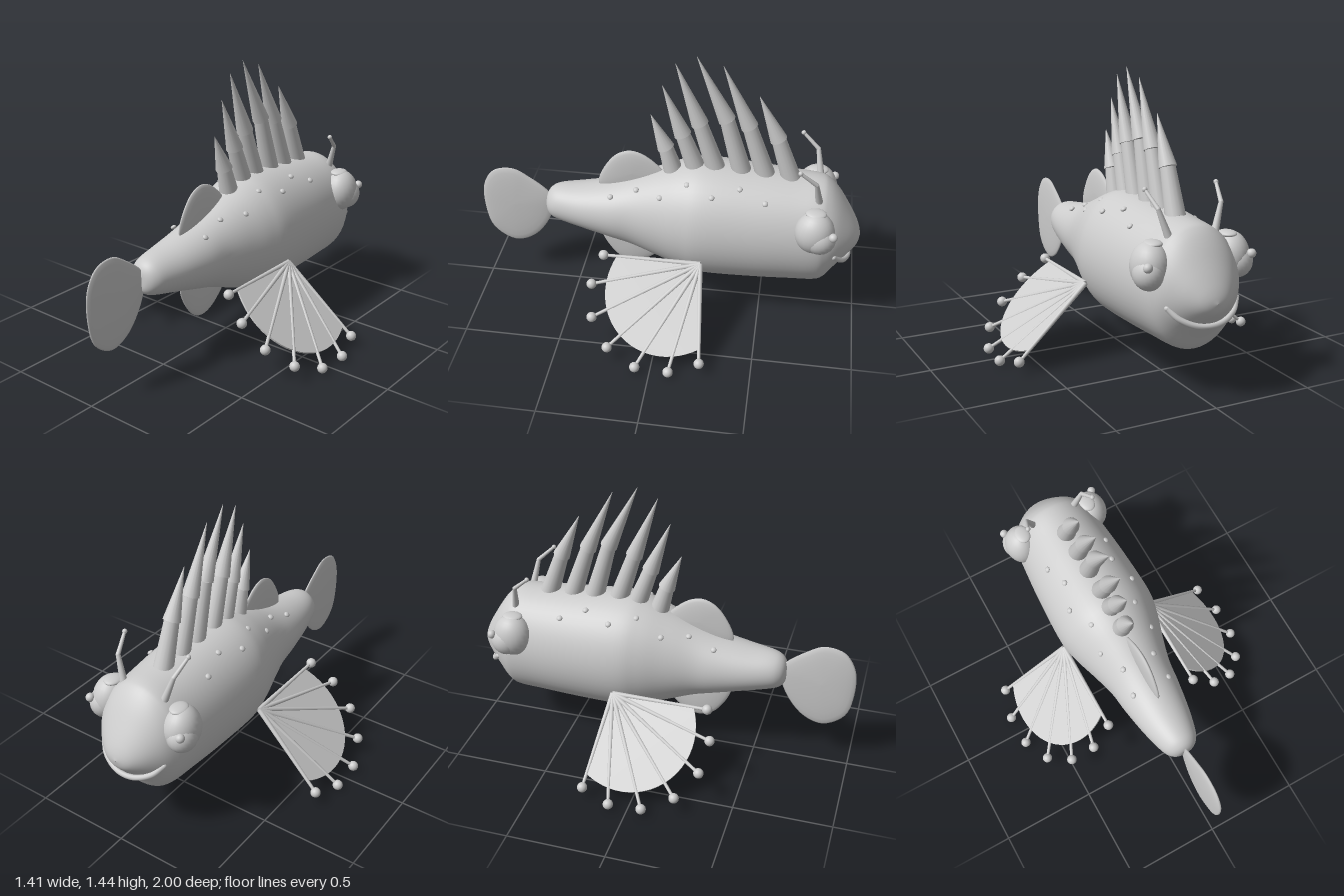
import * as THREE from 'three';

const grey = new THREE.MeshStandardMaterial({ color: 0xcccccc });
grey.name = 'plain grey';
const V = (x, y, z) => new THREE.Vector3(x, y, z);

// Closed tube skin over a list of rings (equal numbers of points)
function skin(rings) {
  const n = rings[0].length, pos = [], idx = [];
  rings.forEach(r => r.forEach(p => pos.push(p.x, p.y, p.z)));
  for (let i = 0; i < rings.length - 1; i++) {
    for (let j = 0; j < n; j++) {
      const a = i * n + j, b = i * n + (j + 1) % n;
      idx.push(a, b, a + n, b, b + n, a + n);
    }
  }
  const g = new THREE.BufferGeometry();
  g.setAttribute('position', new THREE.Float32BufferAttribute(pos, 3));
  g.setIndex(idx);
  g.computeVertexNormals();
  return g;
}

function add(parent, name, geometry) {
  const m = new THREE.Mesh(geometry, grey);
  m.name = name;
  parent.add(m);
  return m;
}

// Ellipsoid
function ball(parent, name, p, rx, ry = rx, rz = rx) {
  const m = add(parent, name, new THREE.SphereGeometry(1, 24, 16));
  m.scale.set(rx, ry, rz);
  m.position.copy(p);
  return m;
}

// Tapered rod from a to b
function rod(parent, name, a, b, ra, rb) {
  const d = b.clone().sub(a);
  const m = add(parent, name, new THREE.CylinderGeometry(rb, ra, d.length(), 16));
  m.position.copy(a).add(b).multiplyScalar(0.5);
  m.quaternion.setFromUnitVectors(V(0, 1, 0), d.normalize());
  return m;
}

// Lens-shaped upright fin from a [y, z] outline
function lensFin(parent, name, outline, thick) {
  const pts = new THREE.CatmullRomCurve3(outline.map(([y, z]) => V(0, y, z)), true).getPoints(48).slice(0, 48);
  const c = pts.reduce((s, p) => s.add(p), V(0, 0, 0)).divideScalar(48);
  const rings = [];
  for (let i = 0; i <= 12; i++) {
    const f = (i / 12 - 0.5) * Math.PI, k = Math.max(Math.cos(f), 0.001);
    rings.push(pts.map(p => V(thick * Math.sin(f), c.y + (p.y - c.y) * k, c.z + (p.z - c.z) * k)));
  }
  return add(parent, name, skin(rings));
}

// Body stations: z, top, bottom, half width
const STATIONS = [
  [-0.995, 0.502, 0.498, 0.002], [-0.985, 0.54, 0.46, 0.05], [-0.965, 0.585, 0.43, 0.09],
  [-0.925, 0.655, 0.385, 0.14], [-0.87, 0.74, 0.315, 0.19], [-0.82, 0.795, 0.245, 0.22],
  [-0.77, 0.817, 0.225, 0.237], [-0.65, 0.825, 0.222, 0.25], [-0.45, 0.84, 0.216, 0.265],
  [-0.2, 0.855, 0.215, 0.272], [-0.08, 0.835, 0.24, 0.25], [0.05, 0.785, 0.285, 0.21],
  [0.18, 0.73, 0.335, 0.175], [0.3, 0.69, 0.37, 0.16], [0.45, 0.658, 0.41, 0.135],
  [0.57, 0.64, 0.438, 0.105], [0.62, 0.62, 0.455, 0.08], [0.645, 0.585, 0.485, 0.045],
  [0.65, 0.54, 0.536, 0.002],
];

function bodyGeometry() {
  const height = new THREE.CatmullRomCurve3(STATIONS.map(([z, t, b]) => V(t, b, z)), false, 'catmullrom');
  const width = new THREE.CatmullRomCurve3(STATIONS.map(([z, , , w]) => V(w, 0, z)), false, 'catmullrom');
  const rings = [];
  for (let i = 0; i <= 90; i++) {
    const h = height.getPoint(i / 90), w = width.getPoint(i / 90).x;
    const ring = [];
    for (let j = 0; j < 48; j++) {
      const a = j / 48 * Math.PI * 2;
      ring.push(V(w * Math.cos(a), (h.x + h.y) / 2 + (h.x - h.y) / 2 * Math.sin(a), h.z));
    }
    rings.push(ring);
  }
  return skin(rings);
}

// Fan fin: thin web, seven rays and a bead on each ray
function pectoralFin(s) {
  const fin = new THREE.Group();
  fin.name = s > 0 ? 'leftPectoralFin' : 'rightPectoralFin';
  const at = (t, k) => {
    const a = t * 1.66, l = (0.5 + 0.13 * Math.sin(Math.PI * t)) * k;
    return new THREE.Vector2(s * l * Math.sin(a), l * Math.cos(a));
  };
  const edge = [new THREE.Vector2(0, 0)];
  for (let i = 0; i <= 24; i++) edge.push(at(i / 24, 0.86));
  const web = new THREE.ExtrudeGeometry(new THREE.Shape(edge), { depth: 0.01, bevelEnabled: false });
  web.rotateX(Math.PI / 2).translate(0, 0.005, 0);
  add(fin, 'finWeb', web);
  for (let i = 0; i < 7; i++) {
    const p = at(i / 6, 1), tip = V(p.x, 0, p.y);
    rod(fin, 'finRay', V(0, 0, 0), tip, 0.013, 0.008);
    ball(fin, 'finBead', tip, 0.026);
  }
  fin.position.set(s * 0.26, 0.41, -0.2);
  fin.rotation.z = -s * 0.72;
  return fin;
}

export function createModel() {
  const fish = new THREE.Group();
  fish.name = 'spinyFish';
  add(fish, 'body', bodyGeometry());

  // Upright fins
  lensFin(fish, 'tailFin', [[0.72, 0.83], [0.7, 0.93], [0.61, 0.99], [0.45, 0.997], [0.32, 0.96],
    [0.25, 0.85], [0.29, 0.74], [0.43, 0.64], [0.56, 0.62], [0.68, 0.75]], 0.02);
  const dorsal = [[0.892, 0.2], [0.845, 0.29], [0.67, 0.365], [0.6, 0.2], [0.72, 0], [0.855, 0.1]];
  lensFin(fish, 'rearDorsalFin', dorsal, 0.02);
  lensFin(fish, 'bellyFin', dorsal.map(([y, z]) => [1.07 - y, z]).reverse(), 0.02);

  // Back spines: base, joint and tip as z, y pairs
  const spines = [
    [-0.62, 0.81, -0.545, 1.03, -0.44, 1.265], [-0.49, 0.82, -0.4, 1.09, -0.262, 1.415],
    [-0.37, 0.83, -0.288, 1.12, -0.134, 1.455], [-0.24, 0.83, -0.155, 1.085, -0.032, 1.41],
    [-0.14, 0.82, -0.07, 1.015, 0.032, 1.285], [-0.025, 0.79, 0.015, 0.93, 0.09, 1.115],
  ];
  for (const [z0, y0, z1, y1, z2, y2] of spines) {
    const joint = V(0, y1, z1);
    rod(fish, 'spineBase', V(0, y0, z0), joint, 0.05, 0.037);
    rod(fish, 'spineTip', joint, V(0, y2, z2), 0.044, 0.001);
  }

  // Mouth
  const smile = new THREE.CatmullRomCurve3([V(-0.18, 0.47, -0.865), V(-0.14, 0.425, -0.905),
    V(-0.07, 0.393, -0.935), V(0, 0.385, -0.945), V(0.07, 0.393, -0.935), V(0.14, 0.425, -0.905), V(0.18, 0.47, -0.865)]);
  add(fish, 'mouth', new THREE.TubeGeometry(smile, 40, 0.014, 10));
  for (const s of [1, -1]) ball(fish, 'mouthCorner', V(s * 0.18, 0.47, -0.865), 0.014);

  // Paired parts
  const spots = [[0.175, 0.76, -0.505], [0.14, 0.81, -0.375], [0.185, 0.775, -0.24], [0.127, 0.8, -0.11],
    [0.15, 0.722, 0.025], [0.09, 0.716, 0.155], [0.105, 0.668, 0.288]];
  for (const s of [1, -1]) {
    fish.add(pectoralFin(s));
    ball(fish, 'eyeball', V(s * 0.21, 0.64, -0.757), 0.088, 0.113, 0.1);
    ball(fish, 'iris', V(s * 0.23, 0.617, -0.785), 0.073, 0.08, 0.08);
    ball(fish, 'pupil', V(s * 0.268, 0.66, -0.848), 0.022);
    ball(fish, 'eyelid', V(s * 0.195, 0.742, -0.757), 0.042, 0.016, 0.052);

    // Feeler
    const bend = V(s * 0.163, 0.89, -0.747), tip = V(s * 0.186, 0.965, -0.665);
    rod(fish, 'feelerBase', V(s * 0.12, 0.76, -0.768), bend, 0.019, 0.011);
    rod(fish, 'feelerTip', bend, tip, 0.011, 0.008);
    ball(fish, 'feelerBend', bend, 0.011);
    ball(fish, 'feelerBulb', tip, 0.012);

    for (const [x, y, z] of spots) {
      const spot = ball(fish, 'spot', V(s * x, y, z), 0.015, 0.015, 0.01);
      spot.lookAt(s * x * 2, y * 2 - 0.53, z);
    }
  }
  return fish;
}
